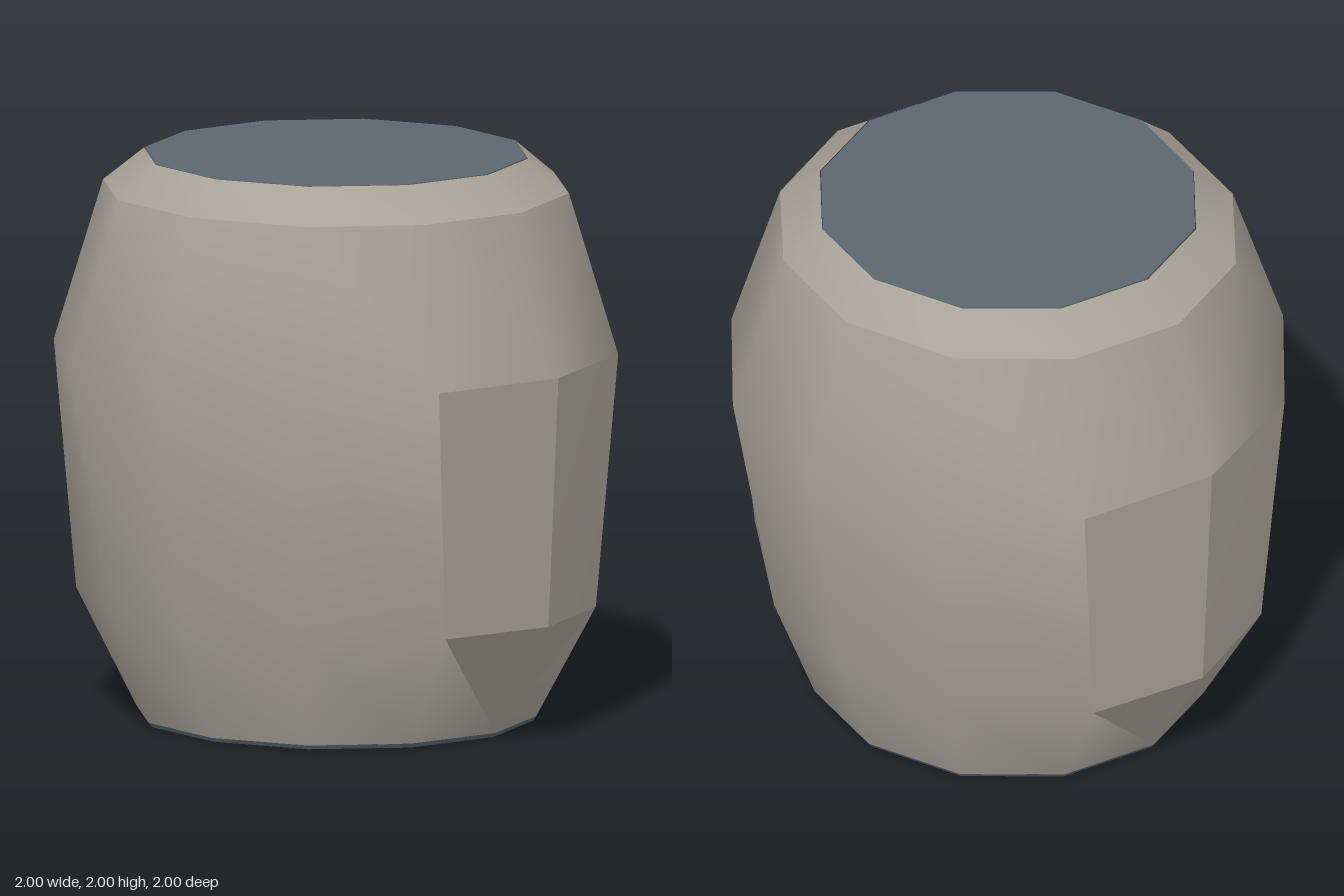
import * as THREE from 'three';
import { toCreasedNormals } from 'three/addons/utils/BufferGeometryUtils.js';

const SIDES = 12;
// height, radius along x, radius along z
const ROWS = [
  [0.015, 0.715, 0.695],
  [0.42, 0.85, 0.85],
  [1.31, 1, 1],
  [1.88, 0.835, 0.805],
  [1.998, 0.685, 0.67],
];

// A corner of the barrel; the side panels bulge out at row 1.
function corner(row, i) {
  const a = ((i % SIDES) / SIDES) * Math.PI * 2;
  const [y, rx, rz] = ROWS[row];
  const c = Math.cos(a), s = Math.sin(a);
  if (row === 1 && Math.abs(c) > 0.99) return [0.955 * Math.sign(c), y, 0];
  if (row === 1 && Math.abs(c) > 0.8) return [0.83 * Math.sign(c), y, 0.42 * Math.sign(s)];
  return [c * rx, y, s * rz];
}

function buildGeometry(triangles, smooth) {
  const geo = new THREE.BufferGeometry();
  const positions = [];
  for (let row = 0; row < ROWS.length; row++)
    for (let i = 0; i < SIDES; i++) positions.push(...corner(row, i));
  geo.setAttribute('position', new THREE.Float32BufferAttribute(positions, 3));
  geo.setIndex(triangles.flat().map(([row, i]) => row * SIDES + (i % SIDES)));
  if (!smooth) return toCreasedNormals(geo, 0.15);
  geo.computeVertexNormals();
  return geo;
}

export function createModel() {
  const group = new THREE.Group();
  const stone = new THREE.MeshStandardMaterial({ name: 'warm grey', color: 0xa8a398 });
  const slate = new THREE.MeshStandardMaterial({ name: 'slate', color: 0x5c6670 });
  const add = (name, geo, mat) => {
    const mesh = new THREE.Mesh(geo, mat);
    mesh.name = name;
    group.add(mesh);
    return mesh;
  };

  // Sort the faces into smooth wall, top bevel and flat side panels
  const wall = [], bevel = [], panels = [];
  for (let row = 0; row < 4; row++) {
    for (let i = 0; i < SIDES; i++) {
      const a = [row, i], b = [row + 1, i], c = [row + 1, i + 1], d = [row, i + 1];
      const side = i % 6 === 0 || i % 6 === 5;
      const flip = i % 6 === 5;
      const upper = flip ? [d, b, c] : [a, b, c];
      const lower = flip ? [a, b, d] : [a, c, d];
      const isPanel = side && row < 2;
      (row === 3 ? bevel : isPanel ? panels : wall).push(upper);
      (row === 3 ? bevel : isPanel && row === 1 ? panels : wall).push(lower);
    }
  }
  add('barrelWall', buildGeometry(wall, true), stone);
  add('topBevel', buildGeometry(bevel, true), stone);
  add('sidePanels', buildGeometry(panels, false), stone);

  // End caps
  const lid = add('topCap', new THREE.CylinderGeometry(0.67, 0.67, 0.006, SIDES), slate);
  lid.scale.x = 1.015;
  lid.position.y = 1.997;
  const base = add('bottomCap', new THREE.CylinderGeometry(0.695, 0.685, 0.016, SIDES), slate);
  base.scale.x = 1.03;
  base.position.y = 0.008;
  return group;
}
